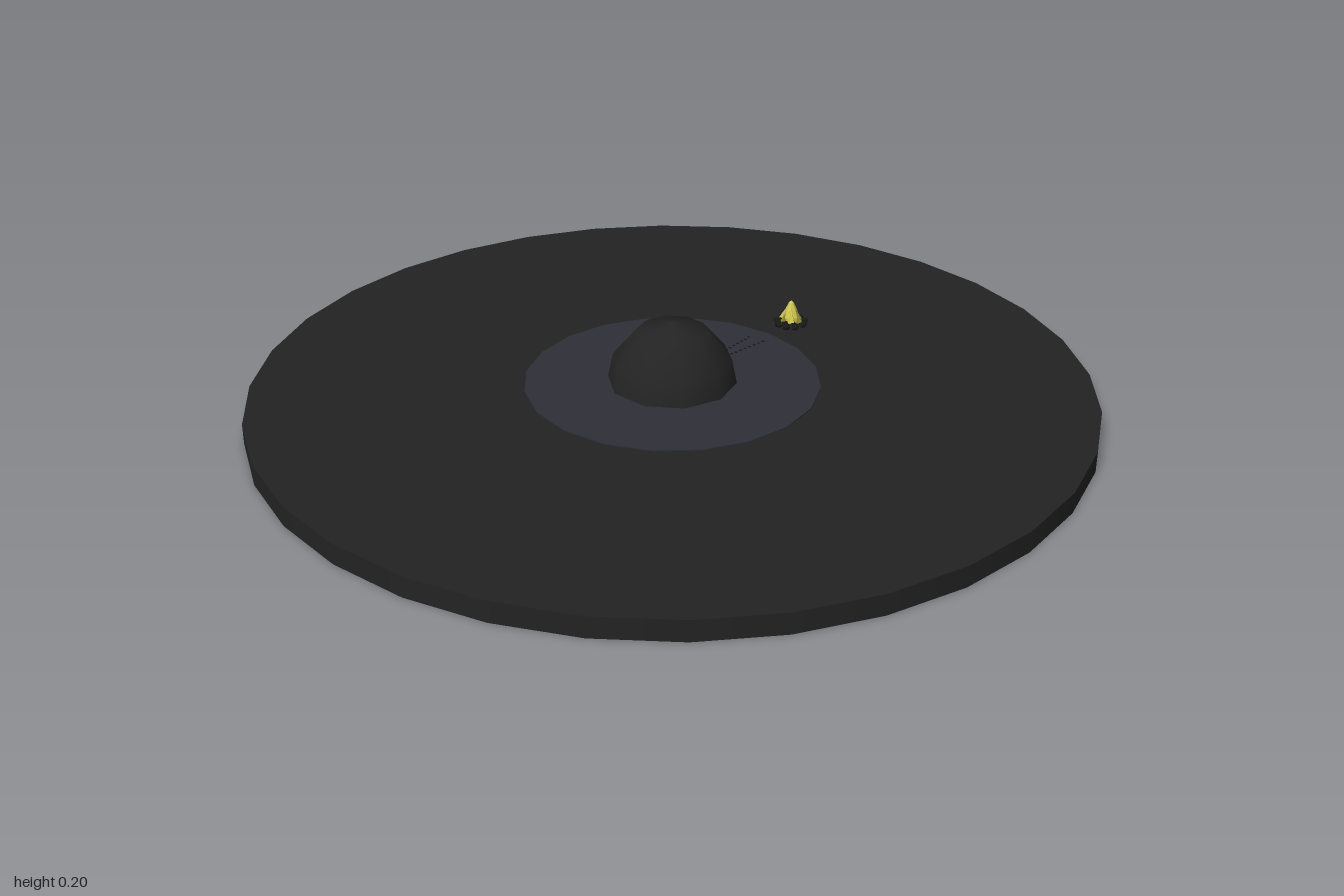
import * as THREE from 'three';

const material = (name, color, flatShading = false) => {
  const m = new THREE.MeshStandardMaterial({ color, flatShading });
  m.name = name;
  return m;
};

export function createModel() {
  const model = new THREE.Group();
  const ground = material('charcoal ground', 0x232323);
  const floor = material('slate floor', 0x2e2e38);
  const rock = material('dark rock', 0x232323);
  const ash = material('ash black', 0x191919, true);
  const yellow = material('flame yellow', 0xd2c850, true);
  const olive = material('flame olive', 0x8c8430, true);
  const TOP = 0.05;

  const add = (parent, name, geometry, mat, x = 0, y = 0, z = 0) => {
    const mesh = new THREE.Mesh(geometry, mat);
    mesh.name = name;
    mesh.position.set(x, y, z);
    parent.add(mesh);
    return mesh;
  };

  // broad round base and the thin clearing on it
  add(model, 'base', new THREE.CylinderGeometry(1, 1, TOP, 32), ground, 0, TOP / 2, 0);
  add(model, 'clearing', new THREE.CylinderGeometry(0.353, 0.353, 0.004, 20), floor, 0, TOP + 0.001, 0);

  // faceted dome, its rings read from pole to rim
  const rings = [[0, 0.155], [0.083, 0.132], [0.142, 0.063], [0.155, 0]];
  const profile = rings.map(([r, y]) => new THREE.Vector2(r, y)).reverse();
  add(model, 'dome', new THREE.LatheGeometry(profile, 10), rock, 0, TOP, 0);

  // trail of small marks leading out from the dome
  const trail = new THREE.Group();
  trail.name = 'trail';
  for (let i = 0; i < 10; i++) {
    for (const side of [-1, 1]) {
      const spread = 0.009 + 0.012 * (i / 9);
      add(trail, 'trailMark', new THREE.CylinderGeometry(0.004, 0.004, 0.001, 5), ash,
        0.165 + i * 0.0155 + side * 0.003, TOP + 0.0035, side * spread);
    }
  }
  model.add(trail);

  // campfire: ring of stones, crossed logs and clustered flames
  const fire = new THREE.Group();
  fire.name = 'campfire';
  fire.position.set(0.44, TOP, 0);
  for (let i = 0; i < 9; i++) {
    const a = (i / 9) * Math.PI * 2;
    const stone = add(fire, 'stone', new THREE.DodecahedronGeometry(0.01), ash,
      Math.cos(a) * 0.035, 0.006, Math.sin(a) * 0.035);
    stone.rotation.set(i, i * 2, 0);
  }
  for (let i = 0; i < 3; i++) {
    const log = add(fire, 'log', new THREE.CylinderGeometry(0.006, 0.006, 0.06, 6), ash, 0, 0.009, 0);
    log.rotation.set(0, (i * Math.PI) / 3, Math.PI / 2);
  }
  const flameProfile = [[0, 0], [0.02, 0.008], [0.021, 0.022], [0.014, 0.042], [0.006, 0.06], [0, 0.065]]
    .map(([r, y]) => new THREE.Vector2(r, y));
  add(fire, 'flame', new THREE.LatheGeometry(flameProfile, 7), yellow);
  for (let i = 0; i < 6; i++) {
    const a = (i / 6) * Math.PI * 2 + 0.3;
    const tongue = add(fire, 'flameTongue', new THREE.ConeGeometry(0.009, 0.034, 5),
      i % 2 ? olive : yellow, Math.cos(a) * 0.019, 0.022 + (i % 3) * 0.004, Math.sin(a) * 0.019);
    tongue.rotation.set(-Math.sin(a) * 0.3, 0, Math.cos(a) * 0.3);
  }
  model.add(fire);
  return model;
}
